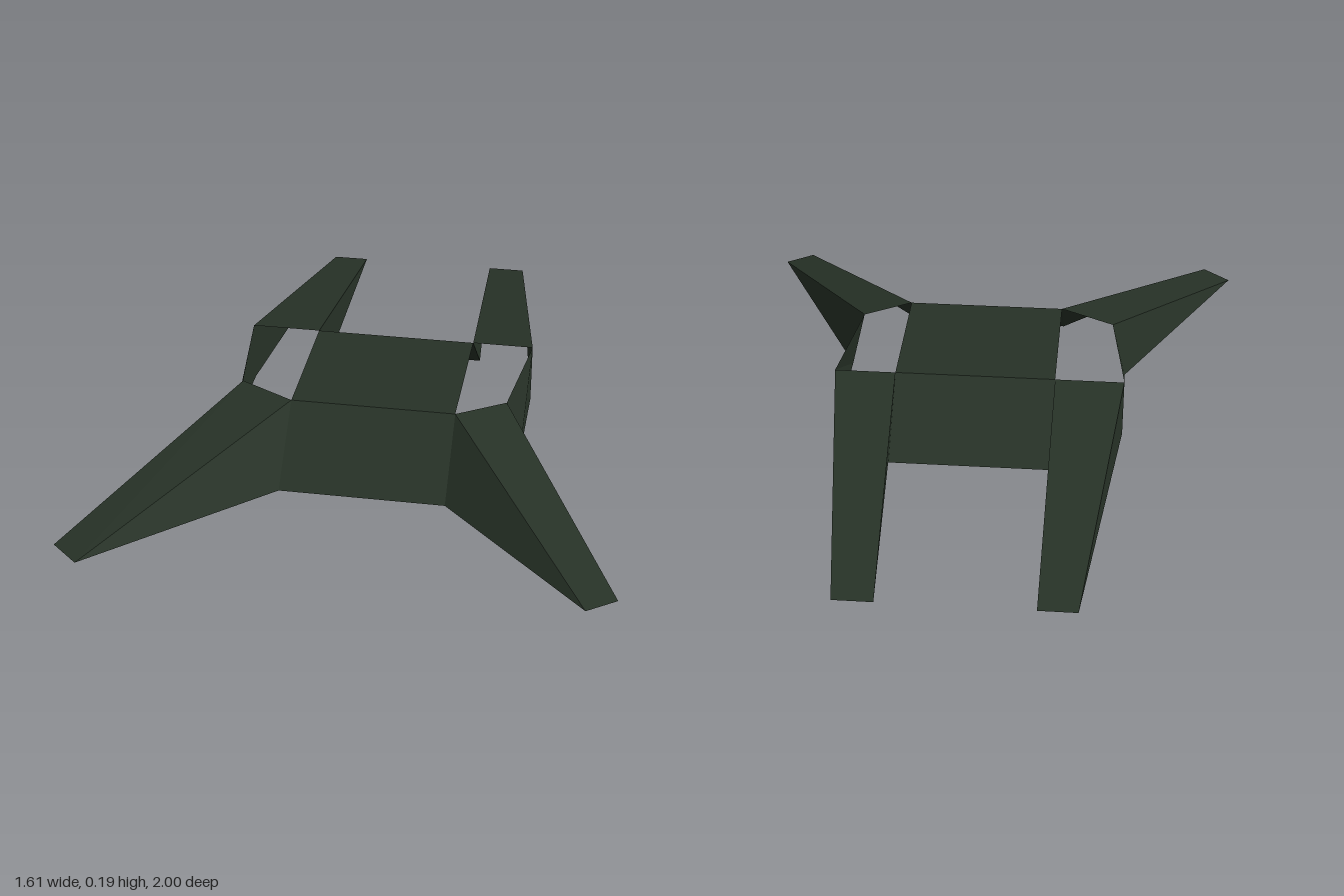
import * as THREE from 'three';

const H = 0.19; // height of the deck

// One flat panel from its corners, counter-clockwise seen from outside
function panel(name, corners, material, flip = false) {
  const pts = flip ? [...corners].reverse() : corners;
  const pos = [];
  for (let i = 1; i < pts.length - 1; i++) pos.push(...pts[0], ...pts[i], ...pts[i + 1]);
  const geo = new THREE.BufferGeometry();
  geo.setAttribute('position', new THREE.Float32BufferAttribute(pos, 3));
  geo.computeVertexNormals();
  const mesh = new THREE.Mesh(geo, material);
  mesh.name = name;
  return mesh;
}

export function createModel() {
  const model = new THREE.Group();
  model.name = 'wedgeCraft';
  const hull = new THREE.MeshStandardMaterial({ color: 0x273227, side: THREE.DoubleSide, flatShading: true });
  hull.name = 'darkGreenHull';

  // Centre hull: front slope, deck and rear slope share one section
  const L = 0.27, R = -0.23;
  const section = [[0, 0.55], [H, 0.34], [H, -0.1], [0, -0.32]];
  ['frontSlope', 'deck', 'rearSlope'].forEach((name, i) => {
    const [y0, z0] = section[i], [y1, z1] = section[i + 1];
    model.add(panel(name, [[R, y0, z0], [L, y0, z0], [L, y1, z1], [R, y1, z1]], hull));
  });

  // The two sides differ slightly in width
  const sides = [
    { name: 'left', flip: false, inner: L, outer: 0.46, shoulder: 0.415, toe: [0.715, 0, 0.99], heel: [0.8, 0, 0.93], tipIn: 0.225, tipOut: 0.345 },
    { name: 'right', flip: true, inner: R, outer: -0.445, shoulder: -0.4, toe: [-0.72, 0, 1], heel: [-0.805, 0, 0.925], tipIn: -0.23, tipOut: -0.345 },
  ];

  for (const s of sides) {
    const add = (group, name, corners) => group.add(panel(name, corners, hull, s.flip));
    const part = (name) => {
      const g = new THREE.Group();
      g.name = s.name + name;
      model.add(g);
      return g;
    };
    const deckFront = [s.inner, H, 0.34], deckRear = [s.inner, H, -0.1];
    const shoulder = [s.shoulder, H, 0.25], sill = [s.outer, 0, 0.25];
    const wallTop = [s.outer, H, -0.1], wallFoot = [s.outer, 0, -0.1];
    const tipIn = [s.tipIn, 0, -1], tipOut = [s.tipOut, 0, -1];

    // Forward leg, open underneath
    const leg = part('FrontLeg');
    add(leg, 'legTop', [deckFront, s.toe, s.heel, shoulder]);
    add(leg, 'legInnerWall', [deckFront, [s.inner, 0, 0.55], s.toe]);
    add(leg, 'legOuterWall', [shoulder, s.heel, sill]);

    // Side wall beside the open bay
    const wall = part('SideWall');
    add(wall, 'wallLower', [sill, wallFoot, wallTop]);
    add(wall, 'wallUpper', [sill, wallTop, shoulder]);

    // Rear prong, open underneath
    const prong = part('RearProng');
    add(prong, 'prongTop', [deckRear, wallTop, tipOut, tipIn]);
    add(prong, 'prongInnerWall', [deckRear, tipIn, [s.inner, 0, -0.32]]);
    add(prong, 'prongOuterWall', [wallTop, wallFoot, tipOut]);
  }
  return model;
}
